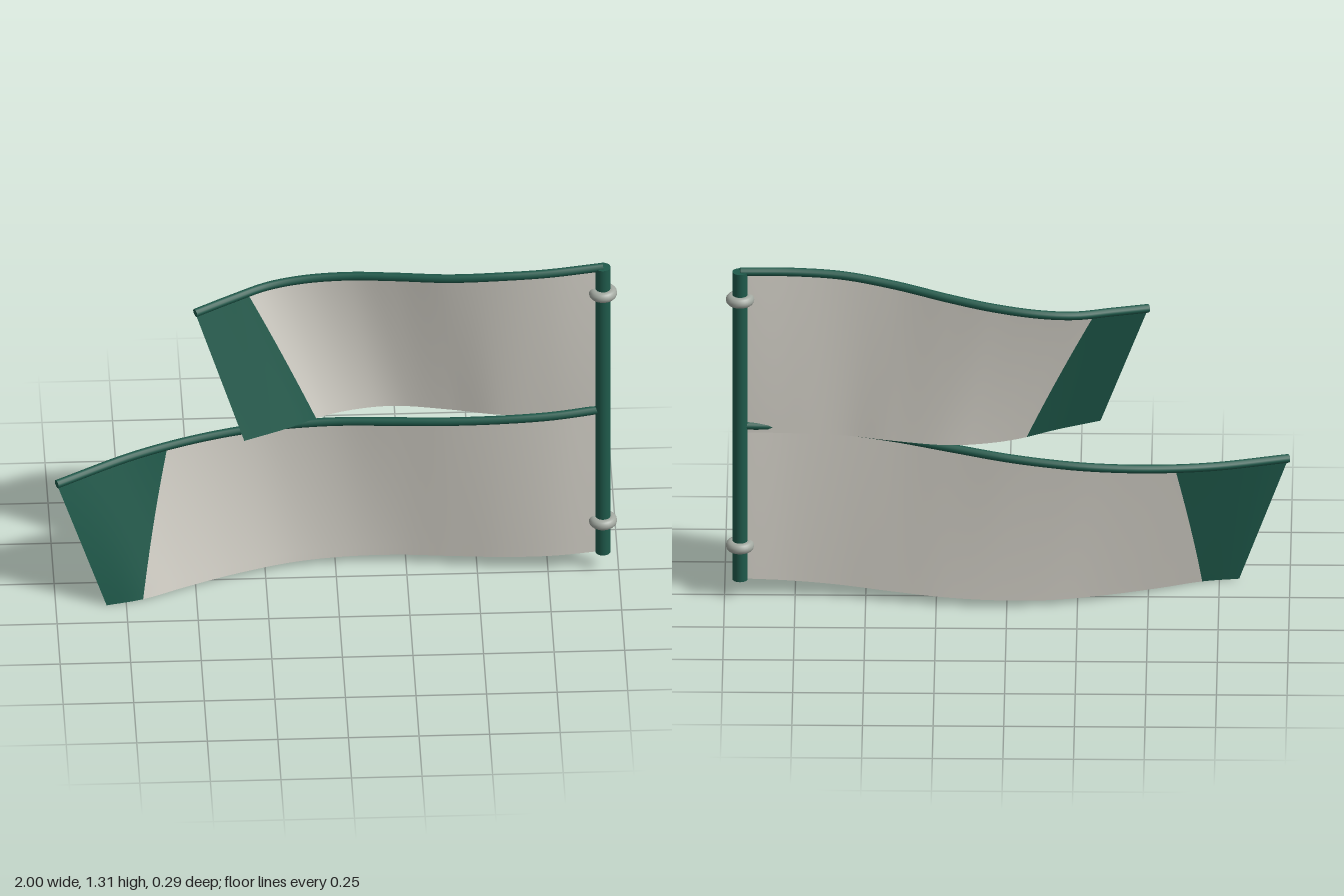
import * as THREE from 'three';

const POLE_X = 0.945, POLE_Z = -0.015;

const curve = (points) => new THREE.CatmullRomCurve3(points.map((p) => new THREE.Vector3(...p)), false, 'centripetal');

// Dense list of points along an edge curve, so it can be sampled by its share of the x span
function edgeSampler(points) {
  const pts = curve(points).getPoints(300);
  const x0 = pts[0].x, x1 = pts[pts.length - 1].x;
  return (u) => {
    const x = x0 + (x1 - x0) * u;
    let i = 0;
    while (i < pts.length - 2 && pts[i + 1].x < x) i++;
    const k = (x - pts[i].x) / (pts[i + 1].x - pts[i].x);
    return pts[i].clone().lerp(pts[i + 1], k);
  };
}

// Ruled cloth between two edges, from uStart(v) to uEnd(v); v runs bottom to top
function cloth(bottom, top, uStart, uEnd, cols, rows) {
  const geo = new THREE.PlaneGeometry(1, 1, cols, rows);
  const pos = geo.attributes.position;
  for (let i = 0; i < pos.count; i++) {
    const s = pos.getX(i) + 0.5, v = pos.getY(i) + 0.5;
    const u = THREE.MathUtils.lerp(uStart(v), uEnd(v), s);
    const p = bottom(u).lerp(top(u), v);
    pos.setXYZ(i, p.x, p.y, p.z);
  }
  geo.computeVertexNormals();
  return geo;
}

export function createModel() {
  const green = new THREE.MeshStandardMaterial({ color: 0x1f5a4b });
  green.name = 'deepGreen';
  const clothGreen = new THREE.MeshStandardMaterial({ color: 0x1f5a4b, side: THREE.DoubleSide });
  clothGreen.name = 'clothGreen';
  const cream = new THREE.MeshStandardMaterial({ color: 0xd6d3ca, side: THREE.DoubleSide });
  cream.name = 'paleCloth';
  const metal = new THREE.MeshStandardMaterial({ color: 0xa3a9a1 });
  metal.name = 'greyMetal';

  const model = new THREE.Group();
  const add = (parent, name, geo, mat) => {
    const mesh = new THREE.Mesh(geo, mat);
    mesh.name = name;
    parent.add(mesh);
    return mesh;
  };

  // Upright pole with two rings
  add(model, 'pole', new THREE.CylinderGeometry(0.027, 0.027, 1.225, 24), green)
    .position.set(POLE_X, 0.6875, POLE_Z);
  for (const [name, y] of [['lowerRing', 0.21], ['upperRing', 1.19]]) {
    const ring = add(model, name, new THREE.TorusGeometry(0.031, 0.0195, 14, 32), metal);
    ring.rotation.x = Math.PI / 2;
    ring.position.set(POLE_X, y, POLE_Z);
  }

  // Waving banners: top and bottom edges, and where the green end band stops on each
  const banners = [
    {
      name: 'upperBanner', bandTop: 0.13, bandBottom: 0.204,
      top: [[-0.5, 1.155, 0], [-0.37, 1.17, -0.06], [-0.24, 1.183, -0.115], [-0.11, 1.197, -0.132], [0.05, 1.215, -0.119],
        [0.2, 1.232, -0.084], [0.4, 1.257, -0.028], [0.58, 1.279, 0], [0.75, 1.29, 0.003], [POLE_X, 1.3, POLE_Z]],
      bottom: [[-0.33, 0.66, 0.088], [-0.18, 0.66, 0.02], [-0.03, 0.66, -0.06], [0.1, 0.66, -0.097], [0.22, 0.66, -0.106],
        [0.41, 0.66, -0.074], [0.57, 0.66, -0.037], [0.75, 0.66, -0.022], [POLE_X, 0.66, POLE_Z]],
    },
    {
      name: 'lowerBanner', bandTop: 0.206, bandBottom: 0.074,
      top: [[-0.995, 0.505, 0.105], [-0.72, 0.533, -0.018], [-0.5, 0.555, -0.08], [-0.3, 0.575, -0.108], [-0.17, 0.588, -0.11],
        [0, 0.605, -0.097], [0.2, 0.625, -0.06], [0.4, 0.645, -0.022], [0.6, 0.663, 0], [0.77, 0.675, 0.002], [POLE_X, 0.688, POLE_Z]],
      bottom: [[-0.82, 0.004, 0.143], [-0.69, 0.007, 0.115], [-0.53, 0.012, 0.05], [-0.35, 0.018, -0.015], [-0.15, 0.024, -0.068],
        [0.04, 0.031, -0.085], [0.22, 0.038, -0.078], [0.42, 0.047, -0.048], [0.6, 0.057, -0.02], [0.77, 0.066, -0.008], [POLE_X, 0.077, POLE_Z]],
    },
  ];

  for (const b of banners) {
    const group = new THREE.Group();
    group.name = b.name;
    const top = edgeSampler(b.top), bottom = edgeSampler(b.bottom);
    const band = (v) => THREE.MathUtils.lerp(b.bandBottom, b.bandTop, v);
    add(group, 'endBand', cloth(bottom, top, () => 0, band, 12, 16), clothGreen);
    add(group, 'clothBody', cloth(bottom, top, band, () => 1, 56, 16), cream);

    // Rod along the top edge, closed at both ends
    const path = curve(b.top);
    add(group, 'topRod', new THREE.TubeGeometry(path, 72, 0.0155, 12), green);
    for (const t of [0, 1]) {
      const cap = add(group, 'rodCap', new THREE.CircleGeometry(0.0155, 12), green);
      const end = path.getPoint(t);
      cap.position.copy(end);
      cap.lookAt(end.clone().addScaledVector(path.getTangent(t), t ? 1 : -1));
    }
    model.add(group);
  }
  return model;
}
